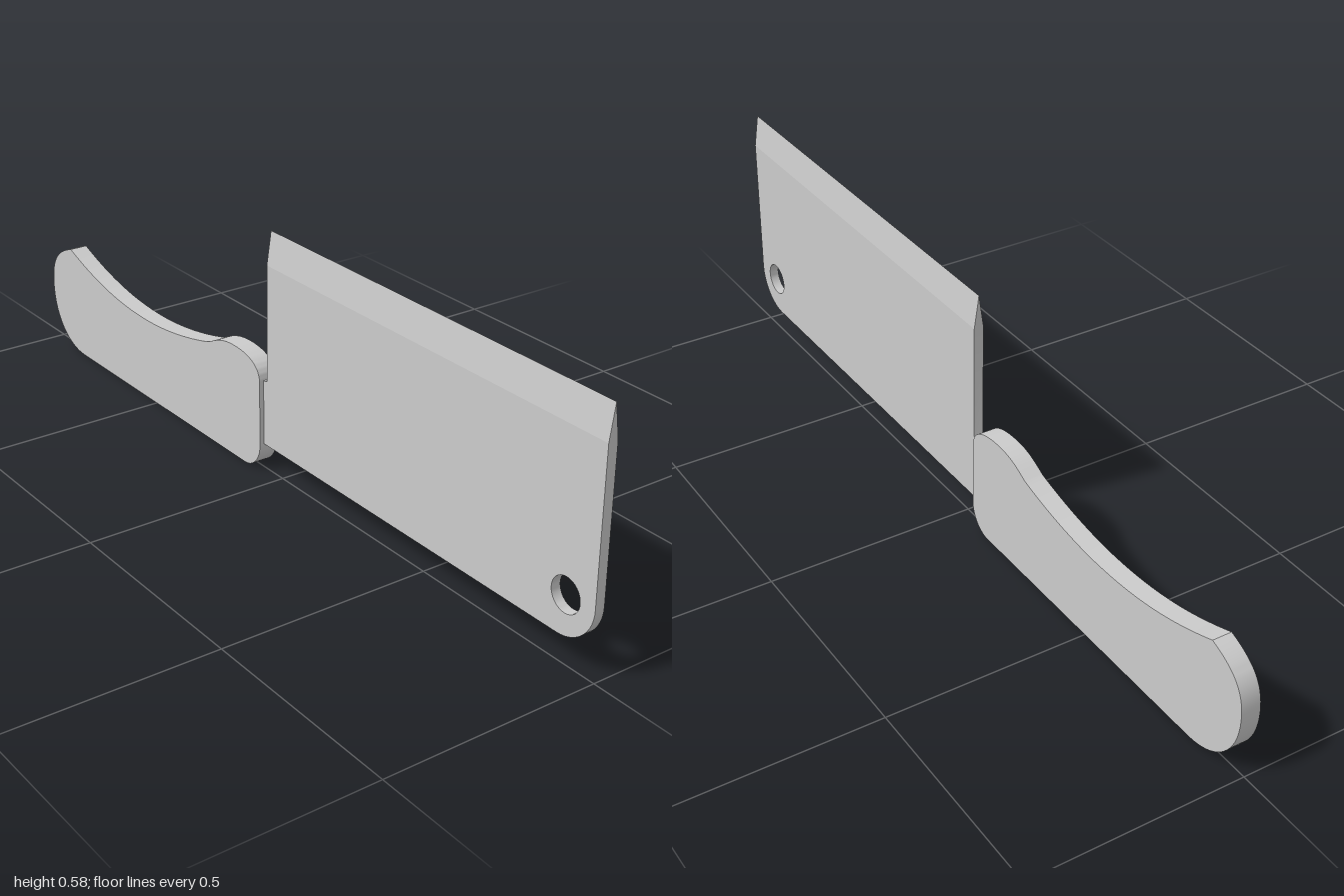
import * as THREE from 'three';
import { toCreasedNormals } from 'three/addons/utils/BufferGeometryUtils.js';

const material = new THREE.MeshStandardMaterial({ color: 0xcccccc });

// Extrudes a side profile drawn in (z, y) to a slab centred on x = 0
function slab(name, shape, thickness) {
  const geometry = new THREE.ExtrudeGeometry(shape, { depth: thickness, bevelEnabled: false, curveSegments: 16 });
  geometry.translate(0, 0, -thickness / 2).rotateY(-Math.PI / 2);
  const mesh = new THREE.Mesh(toCreasedNormals(geometry, 0.5), material);
  mesh.name = name;
  return mesh;
}

export function createModel() {
  const group = new THREE.Group();
  group.name = 'cleaver';
  const bladeThickness = 0.023, bevelY = 0.505, heelZ = -0.043;

  // Blade plate with rounded front corner, stepped heel and hanging hole
  const blade = new THREE.Shape();
  blade.moveTo(-0.075, 0.068);
  blade.lineTo(0.905, 0.068);
  blade.bezierCurveTo(0.957, 0.068, 1, 0.111, 1, 0.163);
  blade.lineTo(1, bevelY);
  blade.lineTo(heelZ, bevelY);
  blade.lineTo(heelZ, 0.235);
  blade.quadraticCurveTo(heelZ, 0.225, -0.053, 0.225);
  blade.lineTo(-0.075, 0.225);
  blade.closePath();
  const hole = new THREE.Path();
  hole.absarc(0.922, 0.158, 0.039, 0, Math.PI * 2, true);
  blade.holes.push(hole);
  group.add(slab('blade', blade, bladeThickness));

  // Cutting edge: wedge along the top of the blade
  const wedge = new THREE.Shape([
    new THREE.Vector2(-bladeThickness / 2, bevelY),
    new THREE.Vector2(bladeThickness / 2, bevelY),
    new THREE.Vector2(0, 0.583),
  ]);
  const wedgeGeometry = new THREE.ExtrudeGeometry(wedge, { depth: 1 - heelZ, bevelEnabled: false });
  wedgeGeometry.translate(0, 0, heelZ);
  const edge = new THREE.Mesh(wedgeGeometry, material);
  edge.name = 'cuttingEdge';
  group.add(edge);

  // Handle with a scooped grip and rounded butt
  const handle = new THREE.Shape();
  handle.moveTo(-0.057, 0.225);
  handle.lineTo(-0.057, 0.065);
  handle.bezierCurveTo(-0.057, 0.03, -0.085, 0, -0.118, 0);
  handle.lineTo(-0.853, 0);
  handle.bezierCurveTo(-0.94, 0, -1, 0.065, -1, 0.155);
  handle.bezierCurveTo(-1, 0.225, -0.965, 0.255, -0.9, 0.277);
  handle.bezierCurveTo(-0.77, 0.227, -0.66, 0.208, -0.54, 0.208);
  handle.bezierCurveTo(-0.45, 0.208, -0.35, 0.224, -0.265, 0.248);
  handle.bezierCurveTo(-0.235, 0.262, -0.21, 0.278, -0.157, 0.278);
  handle.bezierCurveTo(-0.1, 0.278, -0.06, 0.262, -0.057, 0.225);
  group.add(slab('handle', handle, 0.045));

  return group;
}
